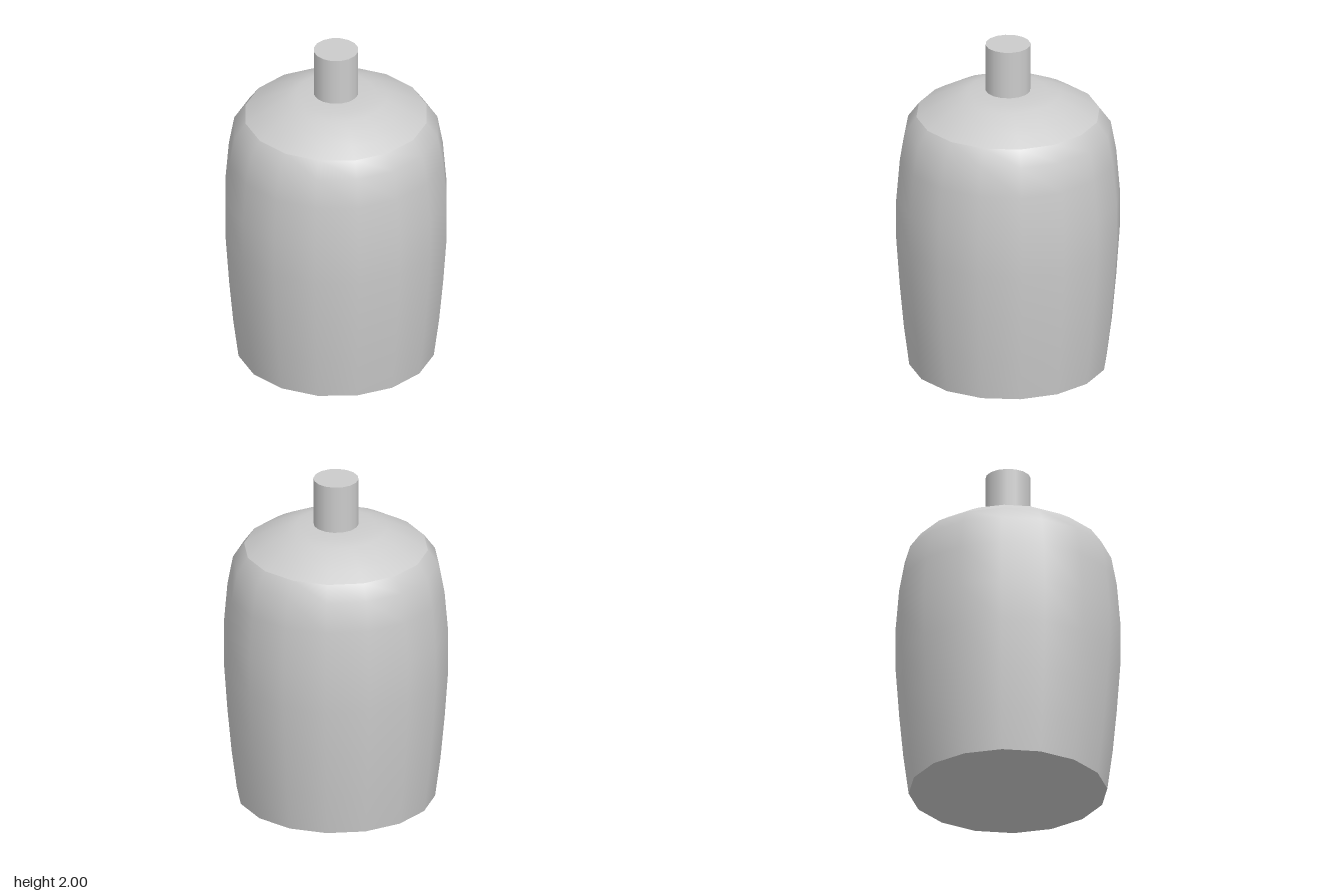
import * as THREE from 'three';

const SIDES = 16;
const material = new THREE.MeshStandardMaterial({ color: 0xcccccc });

function addPart(group, name, geometry, y = 0) {
  const mesh = new THREE.Mesh(geometry, material);
  mesh.name = name;
  mesh.position.y = y;
  group.add(mesh);
  return mesh;
}

// Revolve a bottom-to-top profile of [radius, height] pairs
function turned(profile) {
  return new THREE.LatheGeometry(profile.map(([r, y]) => new THREE.Vector2(r, y)), SIDES);
}

export function createModel() {
  const group = new THREE.Group();
  group.name = 'bottle';

  // Bulging side wall
  addPart(group, 'body', turned([
    [0.577, 0], [0.608, 0.24], [0.632, 0.5], [0.653, 0.8],
    [0.653, 1.05], [0.632, 1.3], [0.6, 1.475], [0.535, 1.565],
  ]));

  // Domed shoulder, with a sharp edge where it meets the wall
  addPart(group, 'shoulder', turned([
    [0.535, 1.565], [0.46, 1.612], [0.386, 1.652], [0.3, 1.69],
    [0.23, 1.706], [0.13, 1.712], [0, 1.712],
  ]));

  // Flat underside
  const base = new THREE.CircleGeometry(0.577, SIDES).rotateX(Math.PI / 2);
  addPart(group, 'base', base);

  // Straight neck, closed on top
  addPart(group, 'neck', new THREE.CylinderGeometry(0.131, 0.131, 0.3, SIDES), 1.85);

  return group;
}
